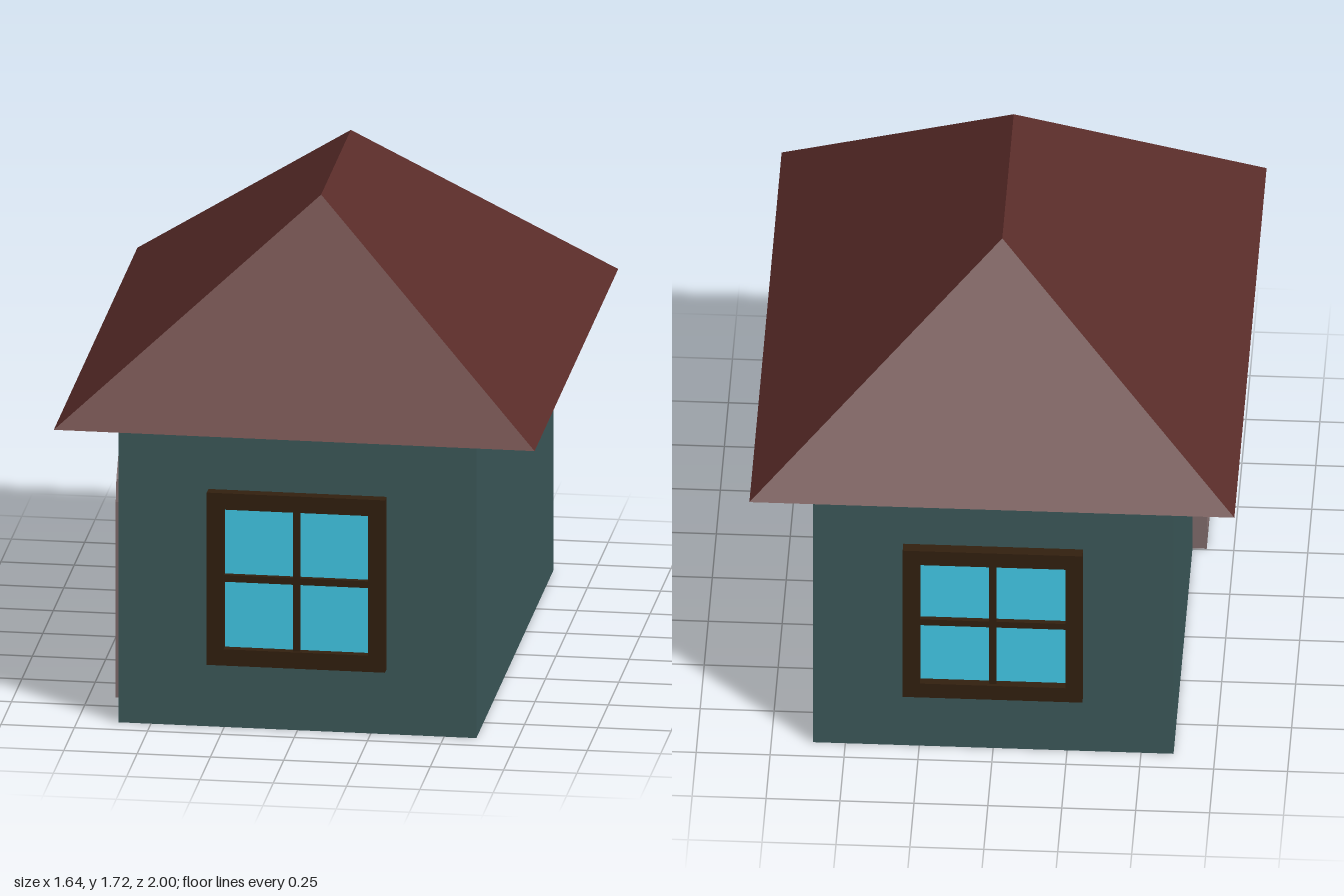
import * as THREE from 'three';

const mat = (color, side = THREE.FrontSide) =>
  new THREE.MeshStandardMaterial({ color, flatShading: true, side });

const wallMat = mat(0x3d5a5b);
const roofMat = mat(0x5a2c29);
const woodMat = mat(0x33200f);
const glassMat = mat(0x43cdec);
const stoneMat = mat(0x806c6c);
const doorMat = mat(0x4a2c14);
const metalMat = mat(0x66747a);

function add(parent, name, geometry, material, x = 0, y = 0, z = 0) {
  const mesh = new THREE.Mesh(geometry, material);
  mesh.name = name;
  mesh.position.set(x, y, z);
  parent.add(mesh);
  return mesh;
}

const box = (w, h, d) => new THREE.BoxGeometry(w, h, d);
const extrude = (shape, depth) =>
  new THREE.ExtrudeGeometry(shape, { depth, bevelEnabled: false });

// Outline as points: rectangle, or rectangle topped by a half circle
const rectPoints = (w, h) =>
  [[-w, -h], [w, -h], [w, h], [-w, h]].map(([x, y]) => new THREE.Vector2(x, y));

function archPoints(r, bottom, spring, segments = 8) {
  const pts = [new THREE.Vector2(-r, bottom), new THREE.Vector2(r, bottom)];
  for (let i = 0; i <= segments; i++) {
    const a = (i / segments) * Math.PI;
    pts.push(new THREE.Vector2(r * Math.cos(a), spring + r * Math.sin(a)));
  }
  return pts;
}

function ringShape(outer, inner) {
  const shape = new THREE.Shape(outer);
  shape.holes.push(new THREE.Path(inner));
  return shape;
}

// Hipped roof: four eave corners and two ridge ends
function roofGeometry(w, d, base, top, ridge) {
  const a = [-w, base, d], b = [w, base, d], c = [w, base, -d], e = [-w, base, -d];
  const f = [0, top, ridge], g = [0, top, -ridge];
  const faces = [
    a, b, f, c, e, g,          // front and back hips
    b, c, g, b, g, f,          // left slope
    e, a, f, e, f, g,          // right slope
    a, e, c, a, c, b,          // underside
  ];
  const geometry = new THREE.BufferGeometry();
  geometry.setAttribute('position', new THREE.Float32BufferAttribute(faces.flat(), 3));
  geometry.computeVertexNormals();
  return geometry;
}

// Four-pane window facing +z with its back on z = 0
function makeWindow(name) {
  const group = new THREE.Group();
  group.name = name;
  add(group, 'windowFrame', extrude(ringShape(rectPoints(0.304, 0.306), rectPoints(0.246, 0.248)), 0.04), woodMat);
  add(group, 'windowGlass', box(0.5, 0.505, 0.01), glassMat, 0, 0, 0.005);
  add(group, 'verticalBar', box(0.024, 0.5, 0.028), woodMat, 0, 0, 0.014);
  add(group, 'horizontalBar', box(0.496, 0.024, 0.028), woodMat, 0, 0, 0.014);
  return group;
}

// Arched door facing +z with its back on z = 0
function makeDoor() {
  const group = new THREE.Group();
  group.name = 'door';
  add(group, 'doorFrame', extrude(ringShape(archPoints(0.2, 0, 0.695), archPoints(0.162, 0.035, 0.695)), 0.048), stoneMat);
  add(group, 'doorPanel', extrude(new THREE.Shape(archPoints(0.17, 0.03, 0.695)), 0.014), doorMat);
  // handle plate, stem and knob
  add(group, 'handlePlate', box(0.055, 0.075, 0.01), metalMat, 0.07, 0.43, 0.018);
  add(group, 'handleStem', new THREE.CylinderGeometry(0.009, 0.009, 0.025, 8), metalMat, 0.07, 0.43, 0.03)
    .rotation.x = Math.PI / 2;
  add(group, 'handleKnob', new THREE.SphereGeometry(0.017, 8, 6), metalMat, 0.07, 0.43, 0.042);
  return group;
}

export function createModel() {
  const house = new THREE.Group();
  house.name = 'house';

  add(house, 'walls', box(1.22, 1.055, 1.84), wallMat, 0, 0.5275, 0);
  add(house, 'roof', roofGeometry(0.82, 1, 1.055, 1.72, 0.355), roofMat);

  // Matching windows on the front and back walls
  const front = makeWindow('frontWindow');
  front.position.set(0, 0.537, 0.92);
  const back = makeWindow('backWindow');
  back.position.set(0, 0.537, -0.92);
  back.rotation.y = Math.PI;

  // Door on the right wall, towards the front
  const door = makeDoor();
  door.position.set(-0.61, 0, 0.455);
  door.rotation.y = -Math.PI / 2;

  house.add(front, back, door);
  return house;
}
